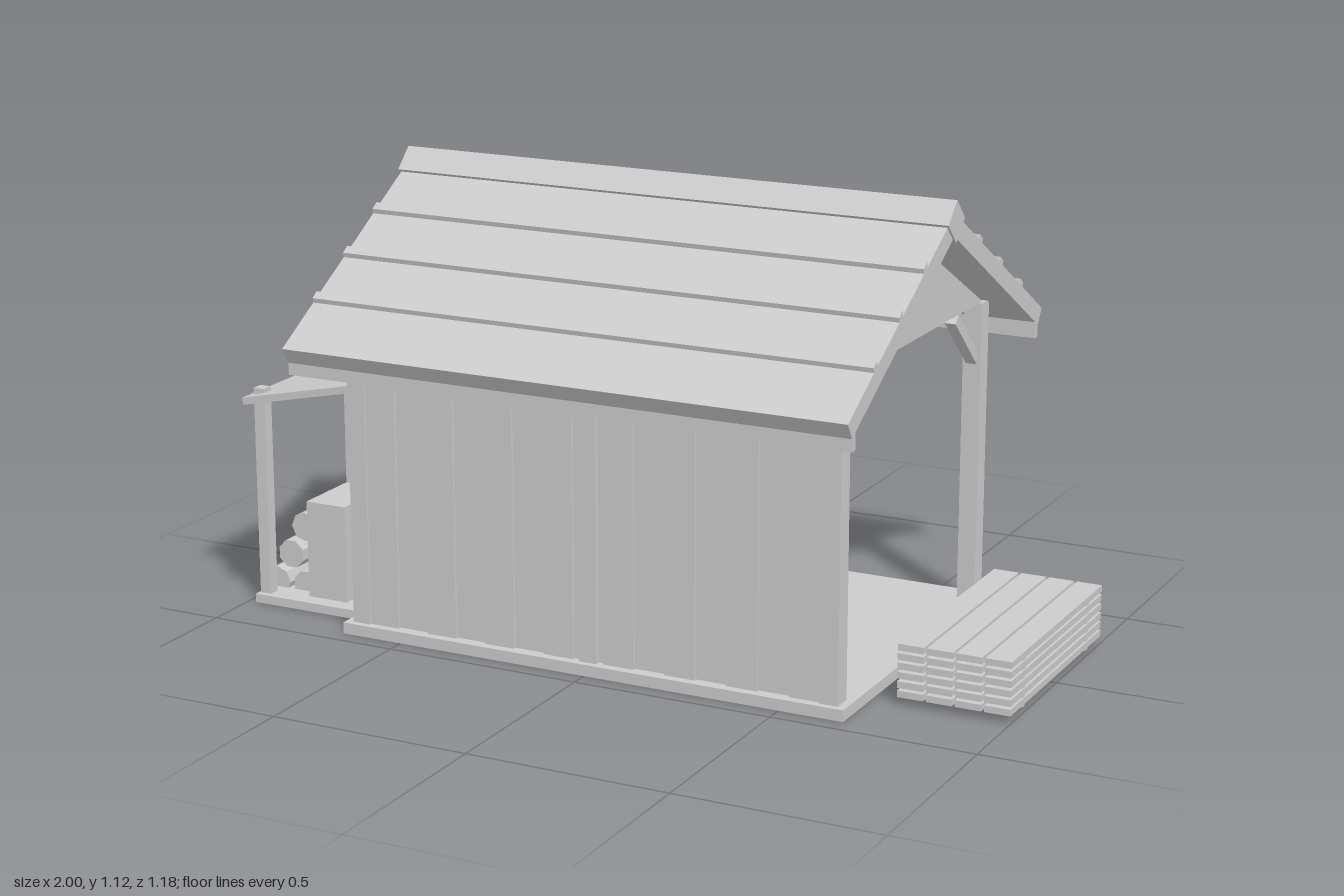
import * as THREE from 'three';

const material = new THREE.MeshStandardMaterial({ color: 0xcccccc, flatShading: true });

export function createModel() {
  const model = new THREE.Group();

  const add = (name, geometry, parent = model) => {
    const mesh = new THREE.Mesh(geometry, material);
    mesh.name = name;
    parent.add(mesh);
    return mesh;
  };
  const group = (name) => {
    const g = new THREE.Group();
    g.name = name;
    model.add(g);
    return g;
  };
  // Box given by its limits on each axis
  const box = (name, [x0, x1], [y0, y1], [z0, z1], parent) => {
    const mesh = add(name, new THREE.BoxGeometry(x1 - x0, y1 - y0, z1 - z0), parent);
    mesh.position.set((x0 + x1) / 2, (y0 + y1) / 2, (z0 + z1) / 2);
    return mesh;
  };
  // Prism along x from a [z, y] outline
  const prism = (name, outline, x0, x1, parent) => {
    const shape = new THREE.Shape(outline.map(([z, y]) => new THREE.Vector2(-z, y)));
    const geometry = new THREE.ExtrudeGeometry(shape, { depth: x1 - x0, bevelEnabled: false });
    geometry.rotateY(Math.PI / 2).translate(x0, 0, 0);
    return add(name, geometry, parent);
  };

  // Floors
  box('floor', [-0.66, 0.66], [0, 0.028], [-0.455, 0.455]);
  box('logStoreFloor', [-0.98, -0.66], [0, 0.022], [-0.12, 0.355]);

  // Main posts: three at the back, three in the front wall
  const frame = group('frame');
  for (const x of [-0.617, 0.002, 0.617])
    for (const z of [-0.415, 0.415])
      box('post', [x - 0.023, x + 0.023], [0.028, 0.78], [z - 0.024, z + 0.024], frame);

  // Gables and corner braces
  for (const x of [-0.617, 0.617]) {
    prism('gable', [[-0.415, 0.78], [0.415, 0.78], [0, 1.005]], x - 0.015, x + 0.015, frame);
    for (const s of [-1, 1])
      prism('brace', [[s * 0.39, 0.628], [s * 0.39, 0.665], [s * 0.265, 0.778], [s * 0.245, 0.76]],
        x - 0.014, x + 0.014, frame);
  }

  // Front wall of upright boards set at alternating depths
  const wall = group('frontWall');
  const boards = 15;
  const pitch = 1.19 / boards;
  for (let i = 0; i < boards; i++) {
    const x = -0.595 + i * pitch;
    const z = i % 2 ? 0.425 : 0.433;
    box('wallBoard', [x, x + pitch], [0.028, 0.775], [0.402, z], wall);
  }

  // Roof slopes with battens and eave boards
  const roof = group('roof');
  const slope = (1.085 - 0.735) / 0.59;
  const top = (z) => 1.085 - slope * z;
  for (const s of [-1, 1]) {
    prism('roofSlope', [[0, 1.085], [s * 0.59, 0.735], [s * 0.567, 0.697], [0, 1.03]], -0.72, 0.72, roof);
    for (const z of [0.165, 0.302, 0.44])
      prism('batten', [[s * (z - 0.01), top(z - 0.01) - 0.01], [s * (z + 0.01), top(z + 0.01) - 0.01],
        [s * (z + 0.015), top(z + 0.01) + 0.01], [s * (z - 0.004), top(z - 0.01) + 0.011]], -0.72, 0.72, roof);
    const z = s * 0.557;
    box('eaveBoard', [-0.72, 0.72], [0.667, 0.715], [z - 0.008, z + 0.008], roof);
  }
  prism('ridgeBeam', [[0, 1.115], [0.05, 1.065], [0, 1.015], [-0.05, 1.065]], -0.725, 0.725, roof);

  // Plain board hanging under the back eave
  box('hangingBoard', [-0.19, 0.18], [0.55, 0.65], [-0.5, -0.488]);

  // Side canopy on two posts
  const canopy = group('canopy');
  const run = 0.39, rise = 0.085;
  const sheet = add('canopySheet', new THREE.BoxGeometry(Math.hypot(run, rise), 0.018, 0.49), canopy);
  sheet.position.set(-0.793, 0.564, 0.125);
  sheet.rotation.z = Math.atan2(rise, run);
  for (const z of [-0.08, 0.325])
    box('canopyPost', [-0.975, -0.945], [0, 0.55], [z - 0.015, z + 0.015], canopy);

  // Pyramid of logs
  const logs = group('logPile');
  for (let row = 0; row < 3; row++)
    for (let i = 0; i < 4 - row; i++) {
      const log = add('log', new THREE.CylinderGeometry(0.037, 0.037, 0.58, 8), logs);
      log.rotation.set(Math.PI / 2, (row + i) * 0.4, 0);
      log.position.set(-0.963 + row * 0.042 + i * 0.084, 0.037 + row * 0.076, -0.01);
    }
  box('logStoreBox', [-0.85, -0.74], [0.022, 0.268], [0.13, 0.312]);

  // Saw bench, blade and the log being cut
  const saw = group('sawBench');
  box('benchBody', [-0.5, 0.4], [0.028, 0.205], [-0.125, 0.035], saw);
  box('benchTop', [-0.51, 0.41], [0.203, 0.215], [-0.135, 0.045], saw);
  const blade = add('sawBlade', new THREE.CylinderGeometry(0.11, 0.11, 0.012, 14), saw);
  blade.rotation.z = Math.PI / 2;
  blade.position.set(0.13, 0.23, -0.045);
  const cutLog = add('cutLog', new THREE.CylinderGeometry(0.055, 0.055, 0.53, 8), saw);
  cutLog.rotation.z = Math.PI / 2;
  cutLog.position.set(-0.165, 0.262, -0.045);

  // Engine and the belt that drives the blade
  box('engineBody', [0.06, 0.26], [0.028, 0.302], [0.15, 0.308], saw);
  box('engineLid', [0.053, 0.267], [0.3, 0.312], [0.145, 0.315], saw);
  prism('driveBelt', [[0.16, 0.218], [0.16, 0.203], [0.02, 0.155], [0.02, 0.17]], 0.15, 0.18, saw);

  // Stack of sawn planks on spacers
  const stack = group('plankStack');
  for (let layer = 0; layer < 6; layer++) {
    const y = 0.019 + layer * 0.0225;
    for (let i = 0; i < 4; i++) {
      const x = 0.725 + i * 0.0705;
      box('plank', [x, x + 0.0635], [y, y + 0.016], [-0.3, 0.3], stack);
    }
    for (const z of [-0.21, 0.21])
      box('spacer', [0.728, 0.997], [y - 0.0075, y + 0.001], [z - 0.008, z + 0.008], stack);
  }

  return model;
}
